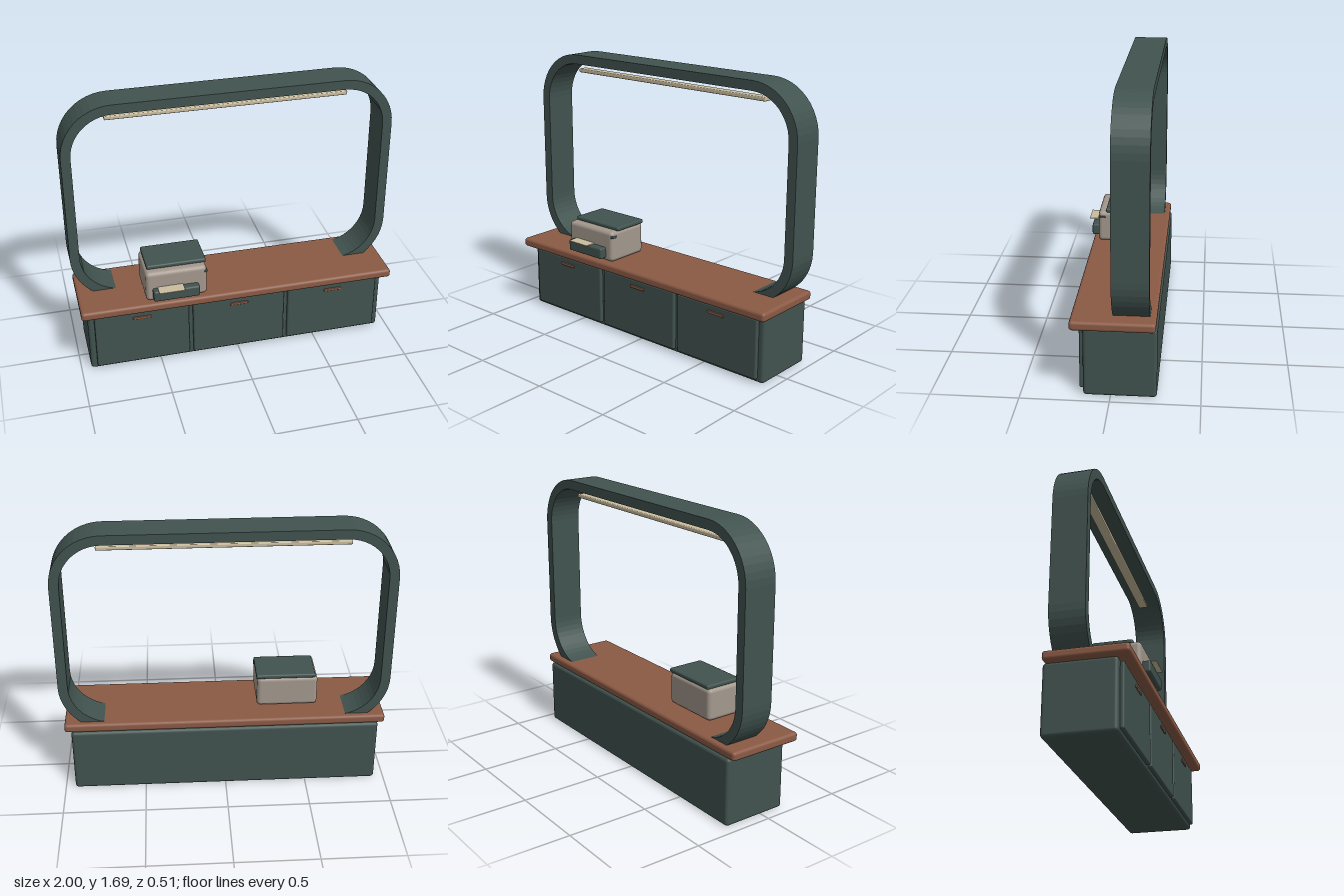
import * as THREE from 'three';
import { RoundedBoxGeometry } from 'three/addons/geometries/RoundedBoxGeometry.js';

const mat = (name, color) => new THREE.MeshStandardMaterial({ name, color });

export function createModel() {
  const green = mat('dark green', 0x41534f);
  const copper = mat('copper brown', 0x8b5a45);
  const grey = mat('warm grey', 0xa3988d);
  const cream = mat('cream', 0xcabd9f);

  const model = new THREE.Group();
  model.name = 'sideboard';

  // Rounded box given by its limits on each axis
  const box = (name, material, [x0, x1], [y0, y1], [z0, z1], radius, parent = model) => {
    const geometry = new RoundedBoxGeometry(x1 - x0, y1 - y0, z1 - z0, 3, radius);
    const mesh = new THREE.Mesh(geometry, material);
    mesh.name = name;
    mesh.position.set((x0 + x1) / 2, (y0 + y1) / 2, (z0 + z1) / 2);
    parent.add(mesh);
    return mesh;
  };

  // Cabinet and countertop
  box('cabinet', green, [-0.94, 0.94], [0, 0.412], [-0.257, 0.153], 0.02);
  box('countertop', copper, [-0.98, 0.98], [0.41, 0.465], [-0.25, 0.222], 0.018);

  // Three doors with slim handles
  for (const x of [-0.61, 0, 0.61]) {
    const door = new THREE.Group();
    door.name = 'door';
    box('doorPanel', green, [x - 0.292, x + 0.292], [0.025, 0.396], [0.145, 0.176], 0.01, door);
    box('doorHandle', copper, [x - 0.057, x + 0.057], [0.342, 0.36], [0.165, 0.184], 0.004, door);
    model.add(door);
  }

  // Rounded rectangle outline with corner arcs
  const outline = (path, w, y0, y1, r) => {
    path.moveTo(w, y0 + r);
    path.lineTo(w, y1 - r);
    path.absarc(w - r, y1 - r, r, 0, Math.PI / 2);
    path.absarc(-w + r, y1 - r, r, Math.PI / 2, Math.PI);
    path.absarc(-w + r, y0 + r, r, Math.PI, Math.PI * 1.5);
    path.absarc(w - r, y0 + r, r, Math.PI * 1.5, Math.PI * 2);
    return path;
  };

  // Hoop frame, its lower rail sunk into the countertop
  const shape = outline(new THREE.Shape(), 1, 0.402, 1.69, 0.31);
  shape.holes.push(outline(new THREE.Path(), 0.942, 0.46, 1.632, 0.252));
  const frame = new THREE.Mesh(
    new THREE.ExtrudeGeometry(shape, { depth: 0.204, bevelEnabled: false, curveSegments: 6 }), green);
  frame.name = 'hoopFrame';
  frame.position.z = -0.214;
  model.add(frame);

  // Light bar under the top of the hoop
  box('lightBar', cream, [-0.73, 0.73], [1.566, 1.59], [-0.14, -0.08], 0.006);

  // Small countertop machine
  const machine = new THREE.Group();
  machine.name = 'countertopMachine';
  model.add(machine);
  box('machineBody', grey, [-0.578, -0.203], [0.465, 0.662], [-0.1, 0.185], 0.025, machine);
  box('machineLid', green, [-0.563, -0.198], [0.658, 0.685], [-0.1, 0.135], 0.01, machine);
  box('outputTray', green, [-0.54, -0.257], [0.485, 0.556], [0.17, 0.23], 0.012, machine);
  box('sideButton', green, [-0.22, -0.199], [0.62, 0.635], [0.14, 0.184], 0.005, machine);

  // Sheet resting on the tray
  const sheet = new THREE.Mesh(new THREE.BoxGeometry(0.157, 0.005, 0.078), cream);
  sheet.name = 'sheet';
  sheet.position.set(-0.432, 0.56, 0.218);
  machine.add(sheet);

  return model;
}
